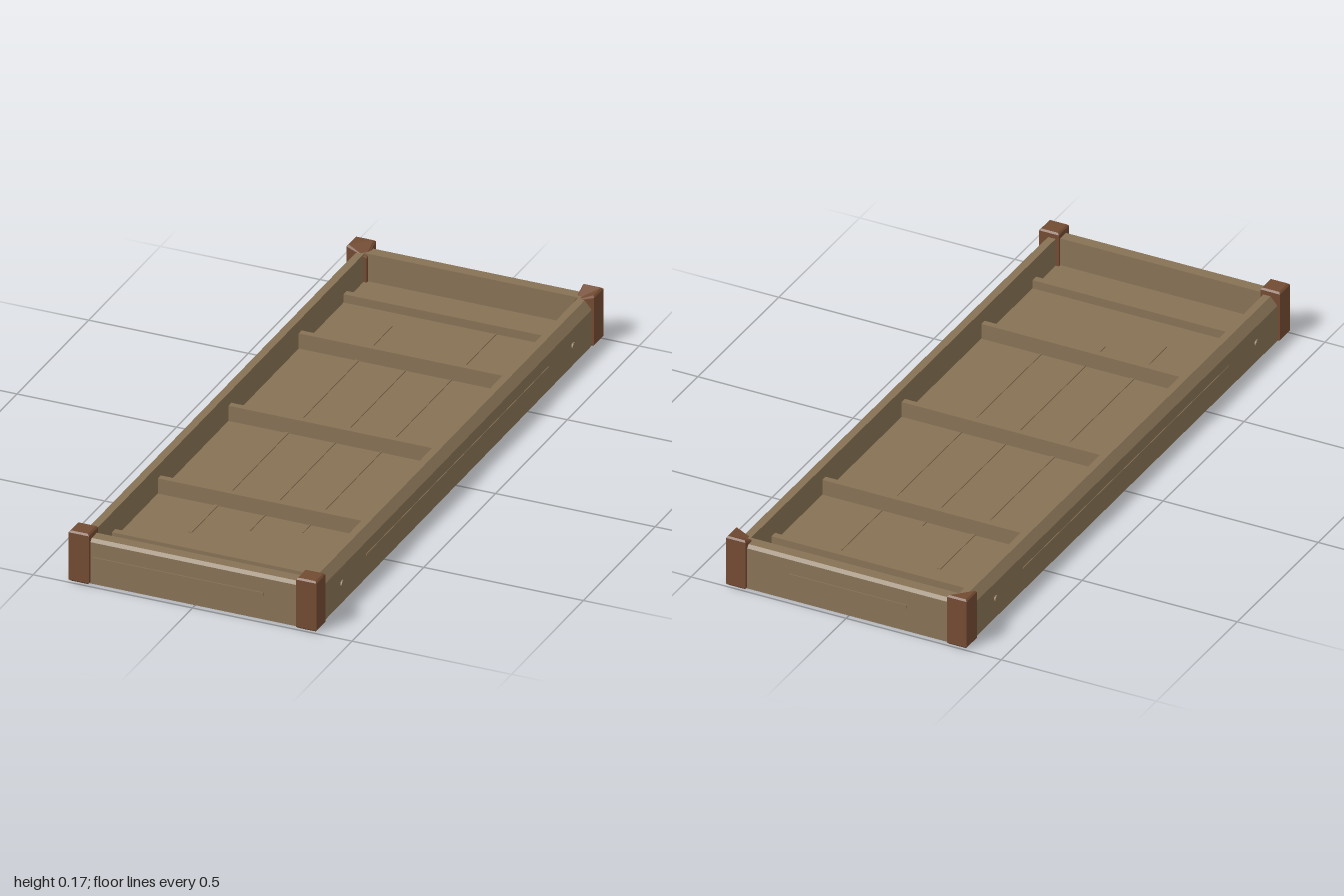
import * as THREE from 'three';

const mat = (name, color) => {
  const m = new THREE.MeshStandardMaterial({ color });
  m.name = name;
  return m;
};

export function createModel() {
  const wood = mat('tan wood', 0x877255);
  const postWood = mat('red brown wood', 0x734b32);
  const root = new THREE.Group();

  const add = (name, geometry, material, x = 0, y = 0, z = 0) => {
    const mesh = new THREE.Mesh(geometry, material);
    mesh.name = name;
    mesh.position.set(x, y, z);
    root.add(mesh);
    return mesh;
  };
  // Wooden box given by its limits on each axis
  const box = (name, [x0, x1], [y0, y1], [z0, z1]) =>
    add(name, new THREE.BoxGeometry(x1 - x0, y1 - y0, z1 - z0), wood,
      (x0 + x1) / 2, (y0 + y1) / 2, (z0 + z1) / 2);

  // Floor slab
  box('floor', [-0.36, 0.36], [0.005, 0.058], [-0.97, 0.97]);

  // Wall with a bevelled outer top edge; the profile runs from inside to outside
  const wall = (name, length, thick, bevelW, bevelH) => {
    const s = new THREE.Shape([[0, 0.005], [thick, 0.005], [thick, 0.147 - bevelH],
      [thick - bevelW, 0.147], [0, 0.147]].map(p => new THREE.Vector2(...p)));
    const g = new THREE.ExtrudeGeometry(s, { depth: length, bevelEnabled: false });
    g.translate(0, 0, -length / 2);
    return add(name, g, wood);
  };
  for (const side of [1, -1]) {
    const sideWall = wall('sideWall', 1.92, 0.045, 0.022, 0.026);
    sideWall.rotation.y = side > 0 ? 0 : Math.PI;
    sideWall.position.x = 0.335 * side;
    const endWall = wall('endWall', 0.7, 0.045, 0.01, 0.009);
    endWall.rotation.y = -side * Math.PI / 2;
    endWall.position.z = 0.945 * side;

    // Raised grain strip and peg heads on the outside of each long wall
    box('sideStrip', [0.38 * side - 0.002, 0.38 * side + 0.002], [0.077, 0.082], [-0.635, 0.635]);
    for (const z of [-0.805, 0.805]) {
      const peg = add('pegHead', new THREE.CylinderGeometry(0.011, 0.011, 0.01, 10), wood, 0.38 * side, 0.068, z);
      peg.rotation.z = Math.PI / 2;
    }
  }

  // Raised grain strips on the end walls
  box('frontStrip', [-0.315, 0.218], [0.081, 0.092], [0.988, 0.993]);
  box('backStrip', [-0.19, 0.19], [0.081, 0.092], [-0.993, -0.988]);

  // Tall cross ribs and low end slats
  for (const z of [-0.495, -0.005, 0.487])
    box('crossRib', [-0.337, 0.337], [0.05, 0.107], [z - 0.01, z + 0.01]);
  for (const z of [-0.808, 0.805])
    box('endSlat', [-0.337, 0.337], [0.05, 0.085], [z - 0.011, z + 0.011]);

  // Thin strips along the plank joints, on top of the floor
  for (const [x, w, z0, z1] of [[-0.152, 0.006, -0.72, 0.68], [0, 0.002, -0.53, 0.6], [0.143, 0.002, -0.84, 0.55]])
    box('floorStrip', [x - w, x + w], [0.055, 0.061], [z0, z1]);
  // and underneath
  for (const [x, z0, z1] of [[0.15, -0.88, 0.79], [0, -0.75, 0.51], [-0.245, -0.75, 0.73]])
    box('undersideStrip', [x - 0.002, x + 0.002], [0, 0.006], [z0, z1]);

  // Chamfered corner posts; the rear pair slope down at the inner top corner
  const b = 0.005, w = 0.0635, h = 0.162;
  for (const sx of [1, -1]) for (const sz of [1, -1]) {
    const k = w / 2 - b;
    const s = new THREE.Shape([[-k, -k], [k, -k], [k, k], [-k, k]].map(p => new THREE.Vector2(...p)));
    const g = new THREE.ExtrudeGeometry(s, { depth: h - 2 * b, bevelEnabled: true,
      bevelThickness: b, bevelSize: b, bevelSegments: 1 });
    g.rotateX(-Math.PI / 2);
    g.translate(0, b, 0);
    if (sz < 0) {
      const p = g.attributes.position;
      for (let i = 0; i < p.count; i++)
        if (p.getY(i) > h / 2 && p.getX(i) * sx < 0 && p.getZ(i) > 0) p.setY(i, p.getY(i) - 0.025);
      g.computeVertexNormals();
    }
    add('cornerPost', g, postWood, 0.3565 * sx, 0.004, 0.968 * sz);
  }
  return root;
}
